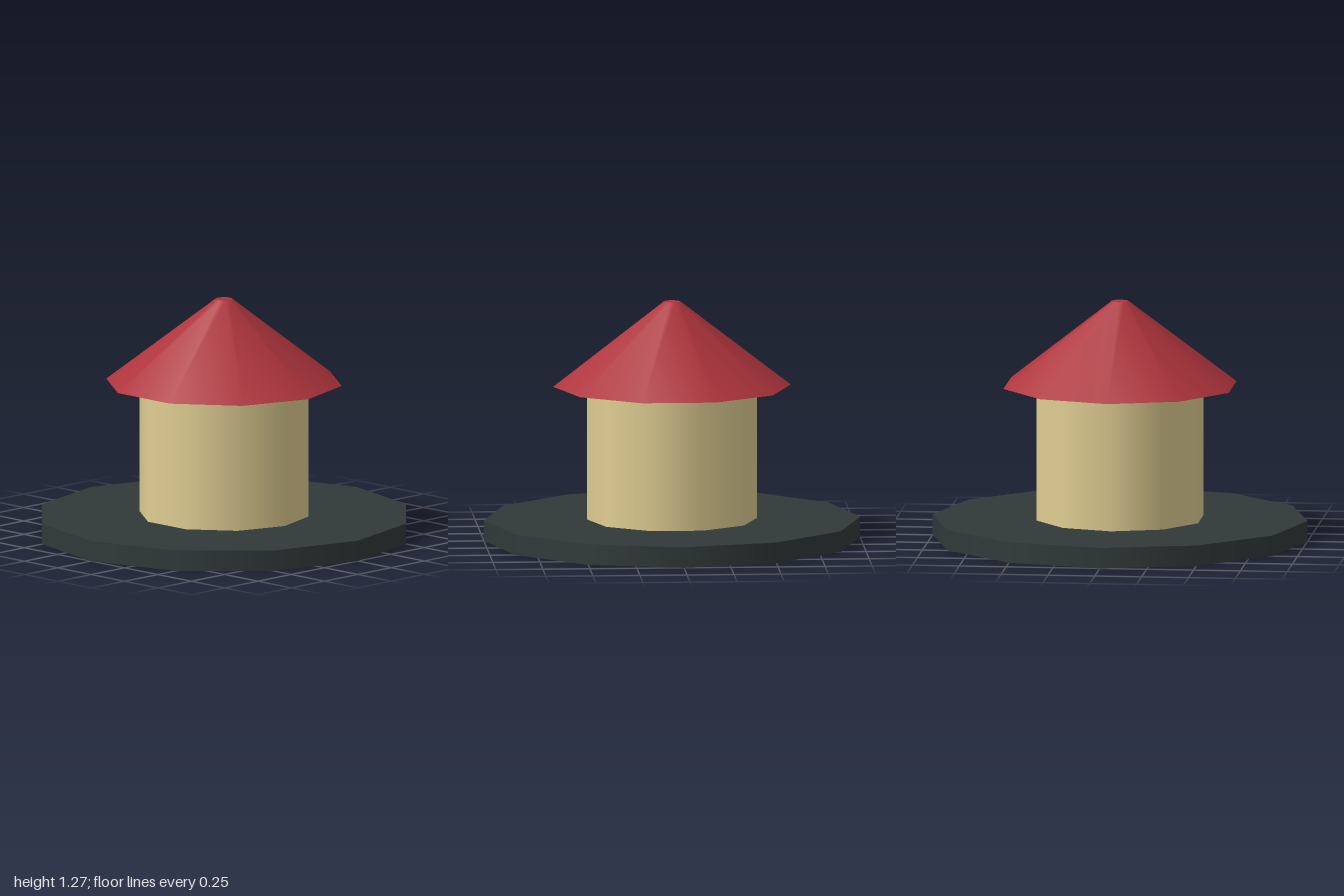
import * as THREE from 'three';

export function createModel() {
  const group = new THREE.Group();

  const makeMaterial = (name, color) => {
    const material = new THREE.MeshStandardMaterial({ color });
    material.name = name;
    return material;
  };
  const slate = makeMaterial('dark slate', 0x303a39);
  const sand = makeMaterial('sand', 0xe0ce92);
  const red = makeMaterial('roof red', 0xae343c);

  // Upright prism or cone between two heights
  const addRound = (name, topRadius, bottomRadius, y0, y1, sides, material) => {
    const geometry = new THREE.CylinderGeometry(topRadius, bottomRadius, y1 - y0, sides);
    const mesh = new THREE.Mesh(geometry, material);
    mesh.name = name;
    mesh.position.y = (y0 + y1) / 2;
    group.add(mesh);
  };

  // Wide twelve-sided plinth
  addRound('base', 1, 1, 0, 0.11, 12, slate);
  // Ten-sided wall drum
  addRound('wall', 0.453, 0.453, 0.11, 0.823, 10, sand);
  // Overhanging roof with a small flat tip
  addRound('roof', 0.045, 0.632, 0.823, 1.275, 10, red);

  return group;
}
